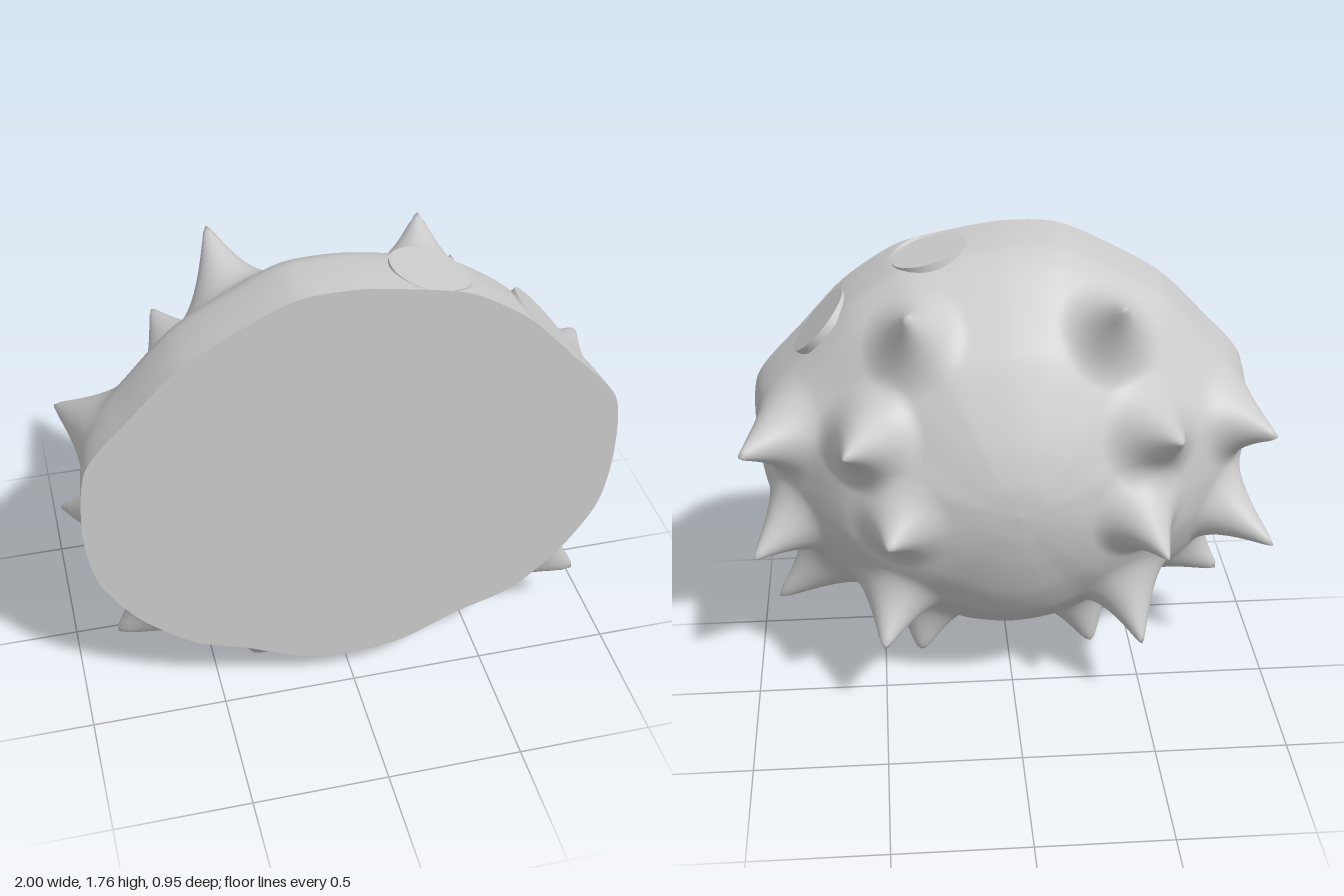
import * as THREE from 'three';

const FRONT = 0.47, CY = 0.93, SEG = 300, RINGS = 110;

// outline of the flat face, counter-clockwise from the left side
const OUTLINE = [
  [0.97, 0.9], [0.95, 1.16], [0.77, 1.37], [0.6, 1.55], [0.4, 1.68], [0.2, 1.73], [0, 1.76],
  [-0.2, 1.75], [-0.4, 1.66], [-0.6, 1.54], [-0.77, 1.37], [-0.93, 1.18], [-0.96, 0.9], [-0.92, 0.67],
  [-0.79, 0.47], [-0.6, 0.31], [-0.4, 0.23], [-0.2, 0.14], [0, 0.11], [0.2, 0.14], [0.4, 0.23],
  [0.62, 0.31], [0.8, 0.47], [0.93, 0.67],
];

// depth profiles (scale of outline, z) for the lower and the upper half
const LOW = [[1, 0.47], [0.98, 0.35], [0.945, 0.24], [0.885, 0.12], [0.78, 0], [0.65, -0.125],
  [0.48, -0.215], [0.3, -0.272], [0.14, -0.303], [0.001, -0.315]];
const HIGH = [[1, 0.47], [0.995, 0.35], [0.978, 0.23], [0.93, 0.15], [0.83, 0.05], [0.65, -0.1],
  [0.47, -0.19], [0.3, -0.258], [0.14, -0.302], [0.001, -0.315]];

// spikes: base, tip, tip roundness, base radius
const SPIKES = [
  [[0.36, 1.5, 0], [0.38, 1.64, -0.14], 0.06, 0.2],
  [[-0.36, 1.5, 0], [-0.38, 1.67, -0.18], 0.06, 0.2],
  [[0.53, 1.18, -0.12], [0.61, 1.25, -0.43], 0.04, 0.21],
  [[-0.51, 1.17, -0.13], [-0.57, 1.23, -0.36], 0.06, 0.21],
  [[0.42, 0.87, -0.2], [0.47, 0.84, -0.36], 0.06, 0.19],
  [[-0.45, 0.87, -0.18], [-0.52, 0.83, -0.48], 0.04, 0.2],
  [[0.43, 0.5, 0], [0.5, 0.34, -0.24], 0.09, 0.2],
  [[-0.43, 0.48, -0.02], [-0.48, 0.3, -0.22], 0.06, 0.2],
  [[0.85, 1.1, 0.12], [1, 1.08, -0.07], 0.06, 0.2],
  [[-0.85, 1.1, 0.12], [-0.98, 1.08, -0.06], 0.06, 0.2],
  [[0.83, 0.7, 0.14], [0.98, 0.62, -0.02], 0.06, 0.19],
  [[-0.83, 0.7, 0.14], [-1, 0.61, -0.05], 0.06, 0.19],
  [[0.71, 0.39, 0.34], [0.92, 0.23, 0.33], 0.12, 0.18],
  [[-0.69, 0.39, 0.34], [-0.86, 0.29, 0.32], 0.12, 0.18],
  [[0.32, 0.22, 0.35], [0.36, 0, 0.25], 0.25, 0.19],
  [[-0.3, 0.21, 0.35], [-0.345, 0, 0.26], 0.2, 0.18],
];

// round flat cuts on the upper left: centre, normal
const PADS = [
  [[0.285, 1.702, 0.328], [0.27, 0.963, 0]],
  [[0.7, 1.44, 0.328], [0.74, 0.67, 0]],
].map(pad => pad.map(v => new THREE.Vector3(...v)));
const PAD_RADIUS = 0.142;

const curve = (pts, closed) => new THREE.CatmullRomCurve3(
  pts.map(([x, y]) => new THREE.Vector3(x, y, 0)), closed, 'catmullrom', 0.4);

function domeGeometry(rim) {
  const low = curve(LOW).getPoints(RINGS), high = curve(HIGH).getPoints(RINGS);
  const points = [], index = [];
  const profile = new THREE.Vector3();
  for (let j = 0; j <= RINGS; j++) {
    for (let i = 0; i < SEG; i++) {
      const p = rim[i], dy = p.y - CY;
      const up = THREE.MathUtils.smoothstep(dy / Math.hypot(p.x, dy), -0.5, 1);
      profile.lerpVectors(low[j], high[j], up);
      points.push(new THREE.Vector3(p.x * profile.x, CY + dy * profile.x, profile.y));
      if (j < RINGS) {
        const n = (i + 1) % SEG, a = j * SEG + i, b = j * SEG + n;
        index.push(a, a + SEG, b, b, a + SEG, b + SEG);
      }
    }
  }

  // pull the skin out into spikes, leaving the rim in place
  const moved = points.map(p => p.clone());
  for (const [base, tip, round, radius] of SPIKES) {
    const root = new THREE.Vector3(...base);
    const nearest = points.reduce((m, p) =>
      p.distanceToSquared(root) < m.distanceToSquared(root) ? p : m);
    const pull = new THREE.Vector3(...tip).sub(nearest);
    points.forEach((p, k) => {
      const d = Math.hypot(p.distanceTo(nearest) / radius, round) - round;
      if (d >= 1) return;
      const keepRim = THREE.MathUtils.smoothstep(FRONT - p.z, 0, 0.1);
      moved[k].addScaledVector(pull, (1 - d) ** 2 * keepRim);
    });
  }

  // press the skin flat under the pads
  for (const [centre, normal] of PADS) {
    for (const p of moved) {
      const height = p.clone().sub(centre).dot(normal);
      if (height > 0 && p.distanceTo(centre) < PAD_RADIUS) p.addScaledVector(normal, -height);
    }
  }

  const geo = new THREE.BufferGeometry().setFromPoints(moved);
  geo.setIndex(index);
  geo.computeVertexNormals();
  return geo;
}

export function createModel() {
  const group = new THREE.Group();
  const material = new THREE.MeshStandardMaterial({ color: 0xcccccc });
  const add = (name, geo) => {
    const mesh = new THREE.Mesh(geo, material);
    mesh.name = name;
    group.add(mesh);
    return mesh;
  };

  const rim = curve(OUTLINE, true).getPoints(SEG).slice(0, SEG);
  add('spikyShell', domeGeometry(rim));

  // flat cut face
  const face = new THREE.ShapeGeometry(new THREE.Shape(rim.map(p => new THREE.Vector2(p.x, p.y))));
  add('flatFace', face).position.z = FRONT;

  // round flat pads
  for (const [centre, normal] of PADS) {
    const pad = add('roundPad', new THREE.CylinderGeometry(PAD_RADIUS, PAD_RADIUS, 0.03, 48));
    pad.quaternion.setFromUnitVectors(new THREE.Vector3(0, 1, 0), normal.clone().normalize());
    pad.position.copy(centre).addScaledVector(normal, -0.012);
  }
  return group;
}
